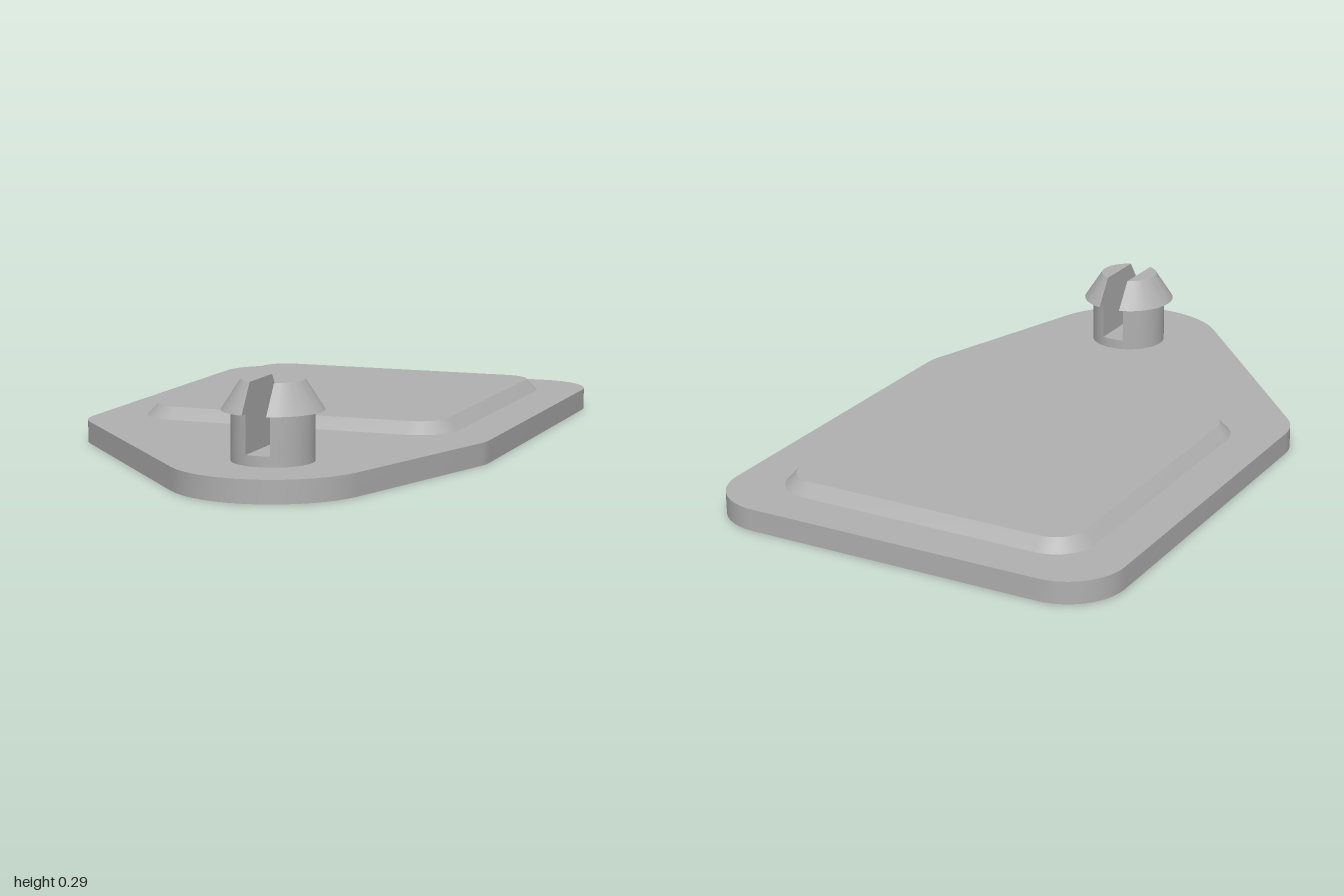
import * as THREE from 'three';
import { toCreasedNormals } from 'three/addons/utils/BufferGeometryUtils.js';

const PLATE_TOP = 0.065;

// Rounded convex outline in x/z wrapped around circles [x, z, r]
function wrap(circles, seg) {
  const n = circles.length;
  const tangent = circles.map(([x, z, r], i) => {
    const [x2, z2, r2] = circles[(i + 1) % n];
    return Math.atan2(z2 - z, x2 - x) - Math.acos((r - r2) / Math.hypot(x2 - x, z2 - z));
  });
  const points = [];
  circles.forEach(([x, z, r], i) => {
    const from = tangent[(i + n - 1) % n];
    let sweep = (tangent[i] - from) % (2 * Math.PI);
    if (sweep < 0) sweep += 2 * Math.PI;
    for (let k = 0; k <= seg; k++) {
      const a = from + (sweep * k) / seg;
      points.push([x + r * Math.cos(a), z + r * Math.sin(a)]);
    }
  });
  return points;
}

// Rounded rectangle from its extents
function roundedRect(x, z0, z1, r) {
  return wrap([[x - r, z0 + r, r], [x - r, z1 - r, r], [r - x, z1 - r, r], [r - x, z0 + r, r]], 10);
}

// Skin a stack of convex outlines [y, points], with optional end caps
function loft(levels, capTop = true, capBottom = false) {
  const pos = [];
  const add = (y, p) => pos.push(p[0], y, p[1]);
  for (let l = 0; l < levels.length - 1; l++) {
    const [y0, a] = levels[l], [y1, b] = levels[l + 1];
    a.forEach((p, i) => {
      const j = (i + 1) % a.length;
      add(y0, p); add(y1, b[i]); add(y0, a[j]);
      add(y0, a[j]); add(y1, b[i]); add(y1, b[j]);
    });
  }
  const [yb, bottom] = levels[0], [yt, top] = levels[levels.length - 1];
  for (let i = 1; i < top.length - 1; i++) {
    if (capTop) { add(yt, top[0]); add(yt, top[i + 1]); add(yt, top[i]); }
    if (capBottom) { add(yb, bottom[0]); add(yb, bottom[i]); add(yb, bottom[i + 1]); }
  }
  const geo = new THREE.BufferGeometry();
  geo.setAttribute('position', new THREE.Float32BufferAttribute(pos, 3));
  return toCreasedNormals(geo, 0.5);
}

export function createModel() {
  const model = new THREE.Group();
  const grey = new THREE.MeshStandardMaterial({ color: 0xb0b0b0 });
  grey.name = 'plain grey';
  const part = (name, geo, parent = model) => {
    const mesh = new THREE.Mesh(geo, grey);
    mesh.name = name;
    parent.add(mesh);
    return mesh;
  };

  // Tapered base plate: rounded back corners, round off-centre front end
  const outline = wrap([
    [0.45, -0.83, 0.17], [0.45, 0.2, 0.17], [0.165, 0.71, 0.29],
    [-0.45, 0.2, 0.17], [-0.45, -0.83, 0.17],
  ], 16);
  part('basePlate', loft([[0, outline], [PLATE_TOP, outline]]));

  // Underside with four shallow grip slots
  const toVectors = (pts) => pts.map(([x, z]) => new THREE.Vector2(x, z));
  const underside = new THREE.Shape(toVectors(outline));
  for (let i = 0; i < 4; i++) {
    const x = -0.145 - i * 0.09, w = 0.0175, z0 = -0.965, z1 = -0.69;
    const slot = [[x - w, z0], [x - w, z1], [x + w, z1], [x + w, z0]];
    underside.holes.push(new THREE.Path(toVectors(slot)));
    part('gripSlot', loft([[0, slot], [0.02, slot]]));
  }
  part('underside', new THREE.ShapeGeometry(underside).rotateX(Math.PI / 2));

  // Raised panel with bevelled rim
  part('raisedPanel', loft([
    [PLATE_TOP, roundedRect(0.488, -0.865, 0.195, 0.12)],
    [0.1, roundedRect(0.455, -0.832, 0.162, 0.087)],
  ]));

  // Split snap post: round foot and two barbed halves
  const post = new THREE.Group();
  post.name = 'snapPost';
  post.position.set(0.165, 0, 0.71);
  model.add(post);
  part('postFoot', new THREE.CylinderGeometry(0.115, 0.115, 0.03, 48), post)
    .position.y = PLATE_TOP + 0.015;

  const halfGap = 0.035;
  const segment = (r) => {
    const a = Math.acos(halfGap / r);
    return Array.from({ length: 25 }, (_, k) => {
      const t = -a + (2 * a * k) / 24;
      return [r * Math.cos(t), r * Math.sin(t)];
    });
  };
  const prong = loft([
    [0.095, segment(0.115)], [0.205, segment(0.115)],
    [0.205, segment(0.142)], [0.288, segment(0.088)],
  ]);
  part('leftProng', prong, post);
  part('rightProng', prong, post).rotation.y = Math.PI;

  return model;
}
